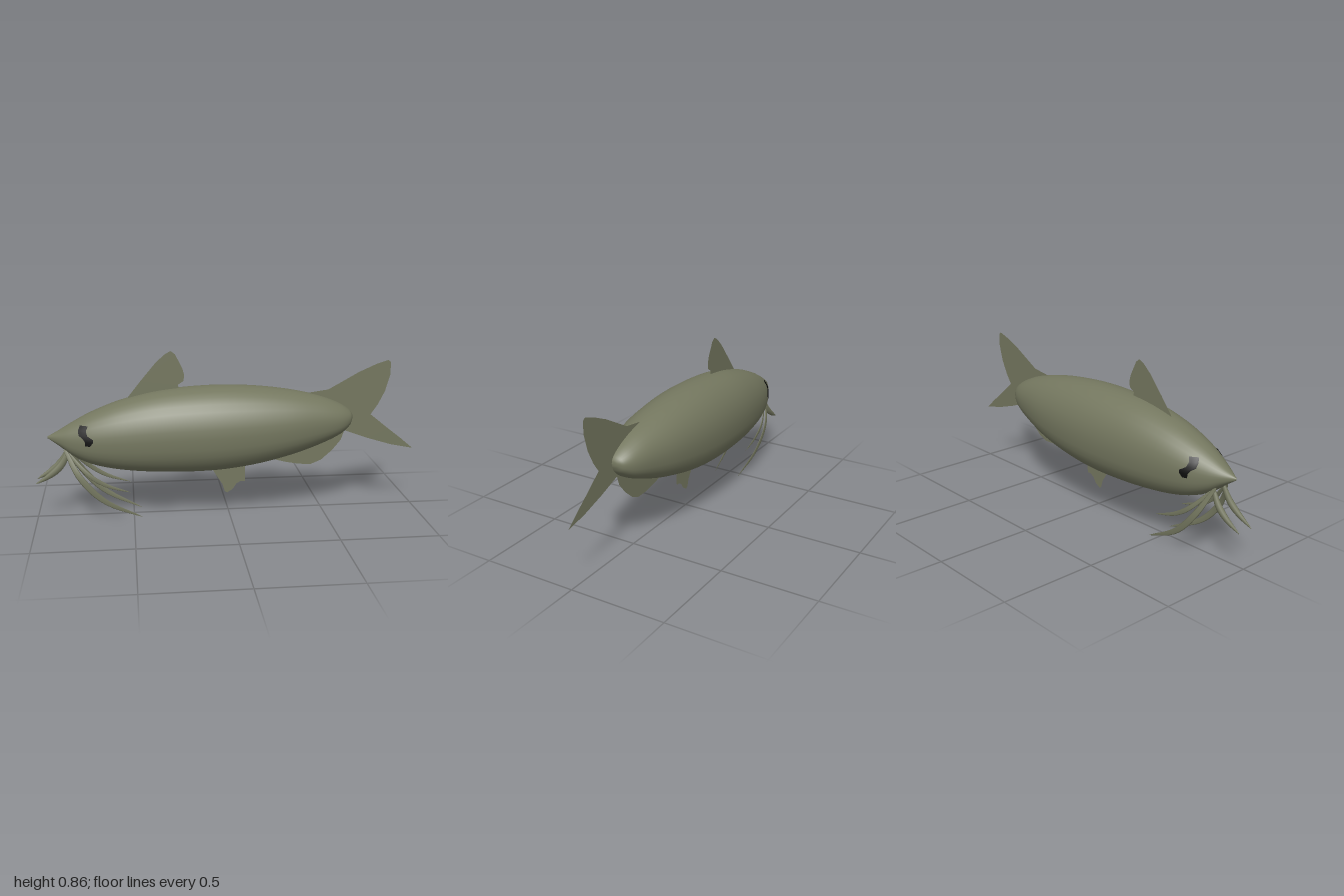
import * as THREE from 'three';

const skin = new THREE.MeshStandardMaterial({ name: 'olive skin', color: 0x74775f });
const finSkin = new THREE.MeshStandardMaterial({ name: 'olive fin', color: 0x74775f, side: THREE.DoubleSide });
const eyeBlack = new THREE.MeshStandardMaterial({ name: 'eye black', color: 0x0a0a0a, side: THREE.DoubleSide });

// Body stations from nose to tail: x, top, bottom, half width
const stations = [
  [-0.933, 0.436, 0.428, 0.002], [-0.87, 0.47, 0.385, 0.046], [-0.8, 0.511, 0.333, 0.085],
  [-0.7, 0.562, 0.288, 0.126], [-0.55, 0.618, 0.257, 0.161], [-0.35, 0.663, 0.241, 0.187],
  [-0.1, 0.682, 0.24, 0.198], [0.12, 0.676, 0.264, 0.191], [0.32, 0.651, 0.309, 0.168],
  [0.48, 0.615, 0.361, 0.132], [0.58, 0.577, 0.405, 0.1], [0.635, 0.544, 0.447, 0.066],
  [0.655, 0.522, 0.48, 0.034], [0.66, 0.503, 0.501, 0.001],
];
const spline = (pts) => new THREE.CatmullRomCurve3(pts.map((p) => new THREE.Vector3(...p)), false, 'catmullrom', 0.5);
const heights = spline(stations.map((s) => [s[0], s[1], s[2]]));
const widths = spline(stations.map((s) => [s[0], s[3], 0]));

function section(t) {
  const h = heights.getPoint(t), w = widths.getPoint(t).y;
  const mid = h.z + (h.y - h.z) * 0.47;
  return { x: h.x, mid, up: h.y - mid, down: mid - h.z, w };
}

// Rounder back, flatter belly
const power = (up) => (up ? 2.05 : 2.5);

// Half width of the body at a given side position
function sideZ(x, y) {
  let lo = 0, hi = 1;
  for (let i = 0; i < 24; i++) {
    const m = (lo + hi) / 2;
    if (heights.getPoint(m).x < x) lo = m; else hi = m;
  }
  const s = section(lo), up = y > s.mid, n = power(up);
  const d = Math.min(1, Math.abs(y - s.mid) / (up ? s.up : s.down));
  return s.w * Math.pow(1 - Math.pow(d, n), 1 / n);
}

// Skin a row of rings; closed joins each ring to itself
function loft(rings, closed = true) {
  const n = rings[0].length, index = [];
  for (let i = 0; i < rings.length - 1; i++) {
    for (let j = 0; j < (closed ? n : n - 1); j++) {
      const k = (j + 1) % n, a = i * n, b = a + n;
      index.push(a + j, b + j, b + k, a + j, b + k, a + k);
    }
  }
  const g = new THREE.BufferGeometry().setFromPoints(rings.flat());
  g.setIndex(index);
  g.computeVertexNormals();
  return g;
}

function bodyGeometry() {
  const rings = [];
  for (let i = 0; i <= 65; i++) {
    const s = section(i / 65), ring = [];
    for (let j = 0; j < 32; j++) {
      const a = (j / 32) * Math.PI * 2, c = Math.cos(a), v = Math.sin(a);
      const e = 2 / power(v > 0);
      ring.push(new THREE.Vector3(
        s.x,
        s.mid + Math.sign(v) * Math.pow(Math.abs(v), e) * (v > 0 ? s.up : s.down),
        Math.sign(c) * Math.pow(Math.abs(c), e) * s.w,
      ));
    }
    rings.push(ring);
  }
  return loft(rings);
}

// Tapering whisker with an oval section
function barbelGeometry(points, width, depth) {
  const curve = spline(points), rings = [];
  for (let i = 0; i <= 16; i++) {
    const t = i / 16, p = curve.getPoint(t), T = curve.getTangent(t);
    const len = Math.hypot(T.x, T.y) || 1;
    const swell = 0.03 + 0.97 * Math.pow(Math.sin(Math.PI * Math.min(1, 0.12 + 0.88 * t)), 0.8);
    const ring = [];
    for (let j = 0; j < 8; j++) {
      const a = (j / 8) * Math.PI * 2, r = Math.cos(a) * width * swell;
      ring.push(new THREE.Vector3(p.x + (T.y / len) * r, p.y - (T.x / len) * r, p.z + Math.sin(a) * depth * swell));
    }
    rings.push(ring);
  }
  return loft(rings);
}

// Curved eye mark lying on the skin
function eyeGeometry(side) {
  const marks = [[-0.742, 0.508, 0.02], [-0.752, 0.485, 0.02], [-0.748, 0.462, 0.022], [-0.722, 0.445, 0.025], [-0.718, 0.43, 0.02], [-0.725, 0.41, 0.012]];
  return loft(marks.map(([x, y, r]) => [-1, -0.5, 0, 0.5, 1].map((u) =>
    new THREE.Vector3(x + u * r, y, side * (sideZ(x + u * r, y) + 0.004)))), false);
}

const fins = {
  dorsalFin: [[-0.53, 0.615], [-0.45, 0.715], [-0.37, 0.81], [-0.325, 0.85], [-0.295, 0.867], [-0.272, 0.85],
    [-0.235, 0.775], [-0.226, 0.74], [-0.23, 0.71], [-0.26, 0.69], [-0.25, 0.66], [-0.3, 0.6]],
  tailFin: [[0.4, 0.628], [0.53, 0.646], [0.69, 0.735], [0.78, 0.775], [0.845, 0.796], [0.86, 0.785], [0.86, 0.72],
    [0.835, 0.63], [0.8, 0.56], [0.762, 0.505], [0.86, 0.425], [0.93, 0.37], [1, 0.311], [0.88, 0.335],
    [0.75, 0.375], [0.62, 0.422], [0.5, 0.5]],
  analFin: [[0.19, 0.29], [0.3, 0.258], [0.38, 0.243], [0.445, 0.24], [0.5, 0.262], [0.56, 0.315], [0.605, 0.37],
    [0.625, 0.43], [0.5, 0.45], [0.3, 0.35]],
  bellyFin: [[-0.1, 0.26], [-0.06, 0.19], [-0.03, 0.145], [-0.018, 0.105], [-0.005, 0.096], [0.025, 0.115],
    [0.045, 0.145], [0.065, 0.157], [0.09, 0.158], [0.092, 0.28]],
};

// Whisker paths on one side, with half width and half depth
const barbels = [
  ['frontBarbel', [[-0.825, 0.37, 0.035], [-0.865, 0.295, 0.04], [-0.92, 0.243, 0.043], [-1, 0.195, 0.043]], 0.019, 0.013],
  ['longBarbel', [[-0.845, 0.375, 0.04], [-0.77, 0.232, 0.088], [-0.645, 0.1, 0.09], [-0.455, 0.004, 0.074]], 0.017, 0.002],
  ['shortBarbel', [[-0.84, 0.37, 0.035], [-0.74, 0.258, 0.082], [-0.64, 0.19, 0.09], [-0.515, 0.147, 0.09]], 0.012, 0.002],
];

export function createModel() {
  const model = new THREE.Group();
  model.name = 'catfish';
  const add = (name, geometry, material) => {
    const mesh = new THREE.Mesh(geometry, material);
    mesh.name = name;
    model.add(mesh);
  };

  add('body', bodyGeometry(), skin);

  // Flat fins on the centre plane
  for (const [name, outline] of Object.entries(fins)) {
    const shape = new THREE.Shape(outline.map(([x, y]) => new THREE.Vector2(x, y)));
    add(name, new THREE.ShapeGeometry(shape), finSkin);
  }

  // Paired eyes and whiskers
  for (const [label, side] of [['near', 1], ['far', -1]]) {
    add(`${label}Eye`, eyeGeometry(side), eyeBlack);
    for (const [name, path, width, depth] of barbels) {
      add(`${label}${name[0].toUpperCase()}${name.slice(1)}`,
        barbelGeometry(path.map(([x, y, z]) => [x, y, z * side]), width, depth), skin);
    }
  }
  return model;
}
